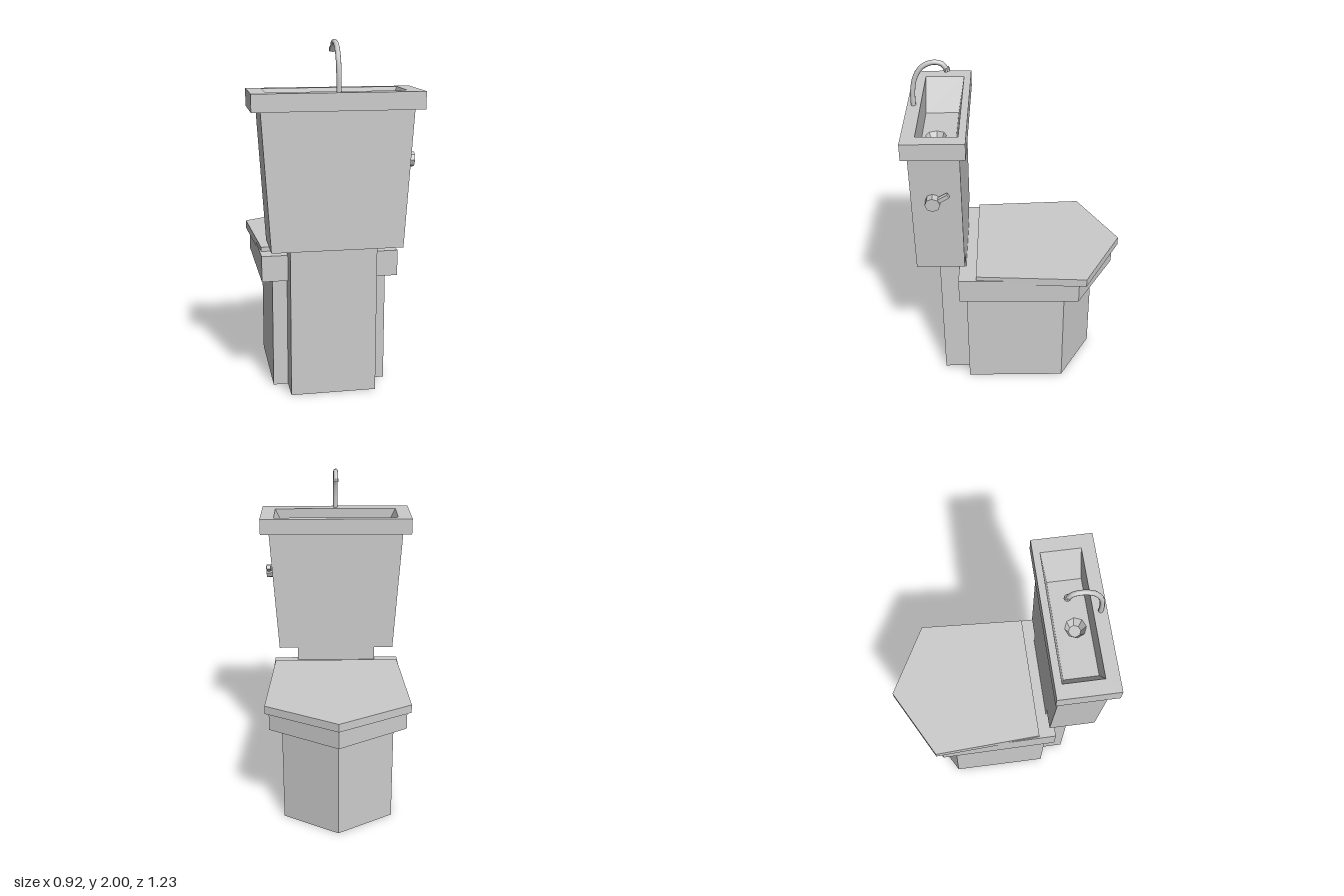
import * as THREE from 'three';

const flat = new THREE.MeshStandardMaterial({ color: 0xcccccc, flatShading: true });
const smooth = new THREE.MeshStandardMaterial({ color: 0xcccccc });
const openFlat = new THREE.MeshStandardMaterial({ color: 0xcccccc, flatShading: true, side: THREE.DoubleSide });

// Rectangular cross-section at height y, counterclockwise from above
const rect = (x, y, z0, z1) => [[-x, y, z0], [-x, y, z1], [x, y, z1], [x, y, z0]];

// Skin four-cornered rings in order, optionally closing the first one
function loft(rings, capFirst = false) {
  const pos = [];
  const tri = (a, b, c) => pos.push(...a, ...b, ...c);
  for (let r = 0; r + 1 < rings.length; r++) {
    for (let i = 0; i < 4; i++) {
      const j = (i + 1) % 4;
      tri(rings[r][i], rings[r][j], rings[r + 1][j]);
      tri(rings[r][i], rings[r + 1][j], rings[r + 1][i]);
    }
  }
  if (capFirst) {
    const [a, b, c, d] = rings[0];
    tri(a, c, b);
    tri(a, d, c);
  }
  const g = new THREE.BufferGeometry();
  g.setAttribute('position', new THREE.Float32BufferAttribute(pos, 3));
  g.computeVertexNormals();
  return g;
}

// Upright five-sided block pointing toward -z
function pointedBlock(y0, y1, xBack, zBack, xFront, zFront, zTip) {
  const s = new THREE.Shape([[-xBack, zBack], [xBack, zBack], [xFront, zFront], [0, zTip], [-xFront, zFront]]
    .map(([x, z]) => new THREE.Vector2(x, -z)));
  return new THREE.ExtrudeGeometry(s, { depth: y1 - y0, bevelEnabled: false })
    .rotateX(-Math.PI / 2).translate(0, y0, 0);
}

export function createModel() {
  const model = new THREE.Group();
  model.name = 'toiletWithSink';
  const add = (name, geometry, material = flat, parent = model) => {
    const m = new THREE.Mesh(geometry, material);
    m.name = name;
    parent.add(m);
    return m;
  };

  // Bowl, rim and lid
  add('bowl', pointedBlock(0, 0.65, 0.33, 0.31, 0.33, -0.27, -0.46));
  add('rim', pointedBlock(0.65, 0.8, 0.393, 0.35, 0.4, -0.35, -0.58));
  add('lid', pointedBlock(0.775, 0.825, 0.385, 0.248, 0.42, -0.39, -0.615));

  // Support column behind the bowl
  add('column', new THREE.BoxGeometry(0.49, 0.885, 0.155).translate(0, 0.4425, 0.3875));

  // Tapered tank, open under the sink
  add('tank', loft([rect(0.362, 0.885, 0.31, 0.585), rect(0.41, 1.64, 0.31, 0.585)], true));

  // Sink slab: underside, outer wall, top border, sloping basin walls
  const floorY = 1.54;
  add('sink', loft([
    rect(0.4, 1.64, 0.32, 0.575),
    rect(0.46, 1.64, 0.275, 0.615),
    rect(0.46, 1.735, 0.275, 0.615),
    rect(0.377, 1.735, 0.315, 0.54),
    rect(0.29, floorY, 0.35, 0.545),
  ]));

  // Basin floor with an eight-sided drain
  const corners = rect(0.29, 0, 0.35, 0.545).map(([x, , z]) => new THREE.Vector2(x, -z));
  const floor = new THREE.Shape(corners);
  const hole = [];
  for (let i = 0; i < 8; i++) {
    const a = (i / 8) * Math.PI * 2;
    hole.push(new THREE.Vector2(Math.sin(a) * 0.06, -0.465 + Math.cos(a) * 0.06));
  }
  floor.holes.push(new THREE.Path(hole));
  add('basinFloor', new THREE.ShapeGeometry(floor).rotateX(-Math.PI / 2).translate(0, floorY, 0));
  add('drainWall', new THREE.CylinderGeometry(0.06, 0.035, 0.05, 8, 1, true)
    .translate(0, floorY - 0.025, 0.465), openFlat);
  add('drainBottom', new THREE.CircleGeometry(0.035, 8).rotateX(-Math.PI / 2)
    .translate(0, floorY - 0.05, 0.465), openFlat);

  // Curved faucet with a collar at the outlet
  const faucet = new THREE.Group();
  faucet.name = 'faucet';
  model.add(faucet);
  const path = new THREE.CatmullRomCurve3([
    [1.73, 0.58], [1.82, 0.578], [1.9, 0.56], [1.96, 0.52], [1.986, 0.46], [1.977, 0.41], [1.945, 0.387],
  ].map(([y, z]) => new THREE.Vector3(0, y, z)));
  add('spout', new THREE.TubeGeometry(path, 20, 0.014, 10), smooth, faucet);
  const collar = add('outlet', new THREE.CylinderGeometry(0.018, 0.018, 0.02, 10), flat, faucet);
  collar.position.set(0, 1.945, 0.386);
  collar.rotation.x = 0.25;

  // Flush handle on the left side, leaning with the tank wall
  const handle = new THREE.Group();
  handle.name = 'flushHandle';
  handle.position.set(0.388, 1.355, 0.465);
  handle.rotation.z = -0.064;
  model.add(handle);
  add('knob', new THREE.CylinderGeometry(0.042, 0.042, 0.05, 8).rotateZ(Math.PI / 2)
    .translate(0.025, 0, 0), flat, handle);
  const lever = add('lever', new THREE.BoxGeometry(0.024, 0.024, 0.1).translate(0, 0, -0.05), flat, handle);
  lever.position.x = 0.03;
  lever.rotation.x = 0.54;

  return model;
}
